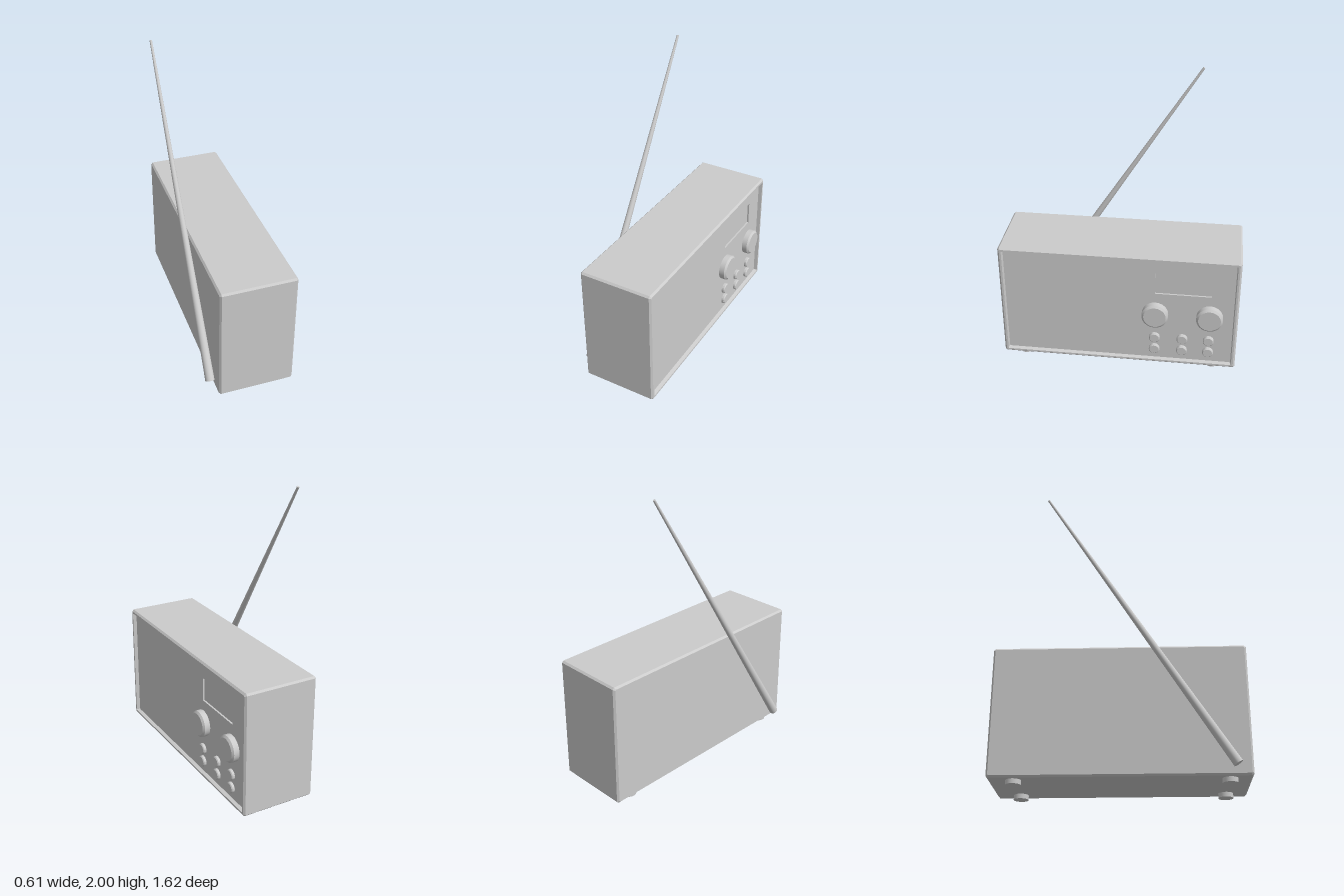
import * as THREE from 'three';
import { toCreasedNormals } from 'three/addons/utils/BufferGeometryUtils.js';

const grey = new THREE.MeshStandardMaterial({ color: 0xcccccc });
const HALF_Y = 0.4275, HALF_Z = 0.81, MID_Y = 0.4575;
const PANEL_X = 0.25;

function part(parent, name, geometry, x = 0, y = 0, z = 0) {
  const mesh = new THREE.Mesh(geometry, grey);
  mesh.name = name;
  mesh.position.set(x, y, z);
  parent.add(mesh);
  return mesh;
}

// Rectangle in the y-z plane with cut corners, counter-clockwise seen from +x
function caseLoop(x, inset, cut) {
  const h = HALF_Y - inset, w = HALF_Z - inset;
  return [
    [h, -w + cut], [h, w - cut], [h - cut, w], [-h + cut, w],
    [-h, w - cut], [-h, -w + cut], [-h + cut, -w], [h - cut, -w],
  ].map(([y, z]) => [x, y, z]);
}

// Bevelled case: closed back, sides, front rim and recess wall
function caseGeometry() {
  const loops = [
    [-0.24, 0.012, 0.006], [-0.228, 0, 0.012], [0.263, 0, 0.012],
    [0.275, 0.012, 0.006], [0.275, 0.025, 0.004], [0.24, 0.033, 0.003],
  ].map((l) => caseLoop(...l));
  const pos = [];
  const n = loops[0].length;
  for (let j = 0; j < n; j++) {
    const k = (j + 1) % n;
    pos.push(-0.24, 0, 0, ...loops[0][k], ...loops[0][j]);
    for (let i = 0; i < loops.length - 1; i++) {
      const a = loops[i][j], b = loops[i][k], c = loops[i + 1][k], d = loops[i + 1][j];
      pos.push(...a, ...b, ...c, ...a, ...c, ...d);
    }
  }
  const g = new THREE.BufferGeometry();
  g.setAttribute('position', new THREE.Float32BufferAttribute(pos, 3));
  g.computeVertexNormals();
  return g;
}

function rectangle(target, x0, x1, y0, y1) {
  target.moveTo(x0, y0);
  target.lineTo(x1, y0);
  target.lineTo(x1, y1);
  target.lineTo(x0, y1);
  target.closePath();
  return target;
}

// Front panel with the display opening; shape x runs along -z of the model
function panelGeometry() {
  const w = HALF_Z - 0.03, h = HALF_Y - 0.03;
  const shape = rectangle(new THREE.Shape(), -w, w, -h, h);
  shape.holes.push(rectangle(new THREE.Path(), 0.245, 0.625, 0.592 - MID_Y, 0.753 - MID_Y));
  const g = new THREE.ExtrudeGeometry(shape, { depth: 0.02, bevelEnabled: false });
  return g.rotateY(Math.PI / 2);
}

// Round control pointing along +x with a chamfered face
function controlGeometry(radius, height, chamferR, chamferH) {
  const profile = [
    [radius, 0], [radius, height - chamferH], [radius - chamferR, height], [0, height],
  ].map(([r, y]) => new THREE.Vector2(r, y));
  const g = new THREE.LatheGeometry(profile, 40).rotateZ(-Math.PI / 2);
  return toCreasedNormals(g, 0.4);
}

export function createModel() {
  const radio = new THREE.Group();
  radio.name = 'radio';

  part(radio, 'case', caseGeometry(), 0, MID_Y, 0);
  part(radio, 'frontPanel', panelGeometry(), PANEL_X - 0.02, MID_Y, 0);
  part(radio, 'display', new THREE.BoxGeometry(0.02, 0.18, 0.4), PANEL_X - 0.022, 0.6725, -0.435);

  // Two dials
  const knob = controlGeometry(0.09, 0.055, 0.014, 0.012);
  for (const z of [-0.25, -0.62]) part(radio, 'knob', knob, PANEL_X - 0.005, 0.43, z);

  // Two rows of three buttons
  const button = controlGeometry(0.037, 0.027, 0.006, 0.006);
  for (const y of [0.235, 0.14]) {
    for (const z of [-0.25, -0.44, -0.62]) part(radio, 'button', button, PANEL_X - 0.005, y, z);
  }

  // Four feet
  const foot = new THREE.CylinderGeometry(0.048, 0.048, 0.036, 32);
  for (const x of [-0.165, 0.19]) {
    for (const z of [0.67, -0.65]) part(radio, 'foot', foot, x, 0.018, z);
  }

  // Tapered aerial leaning across the back
  const base = new THREE.Vector3(-0.275, 0.091, 0.714);
  const tip = new THREE.Vector3(-0.275, 1.996, -0.489);
  const dir = tip.clone().sub(base);
  const aerial = part(radio, 'aerial', new THREE.CylinderGeometry(0.008, 0.031, dir.length(), 32));
  aerial.position.copy(base).add(tip).multiplyScalar(0.5);
  aerial.quaternion.setFromUnitVectors(new THREE.Vector3(0, 1, 0), dir.normalize());

  return radio;
}
